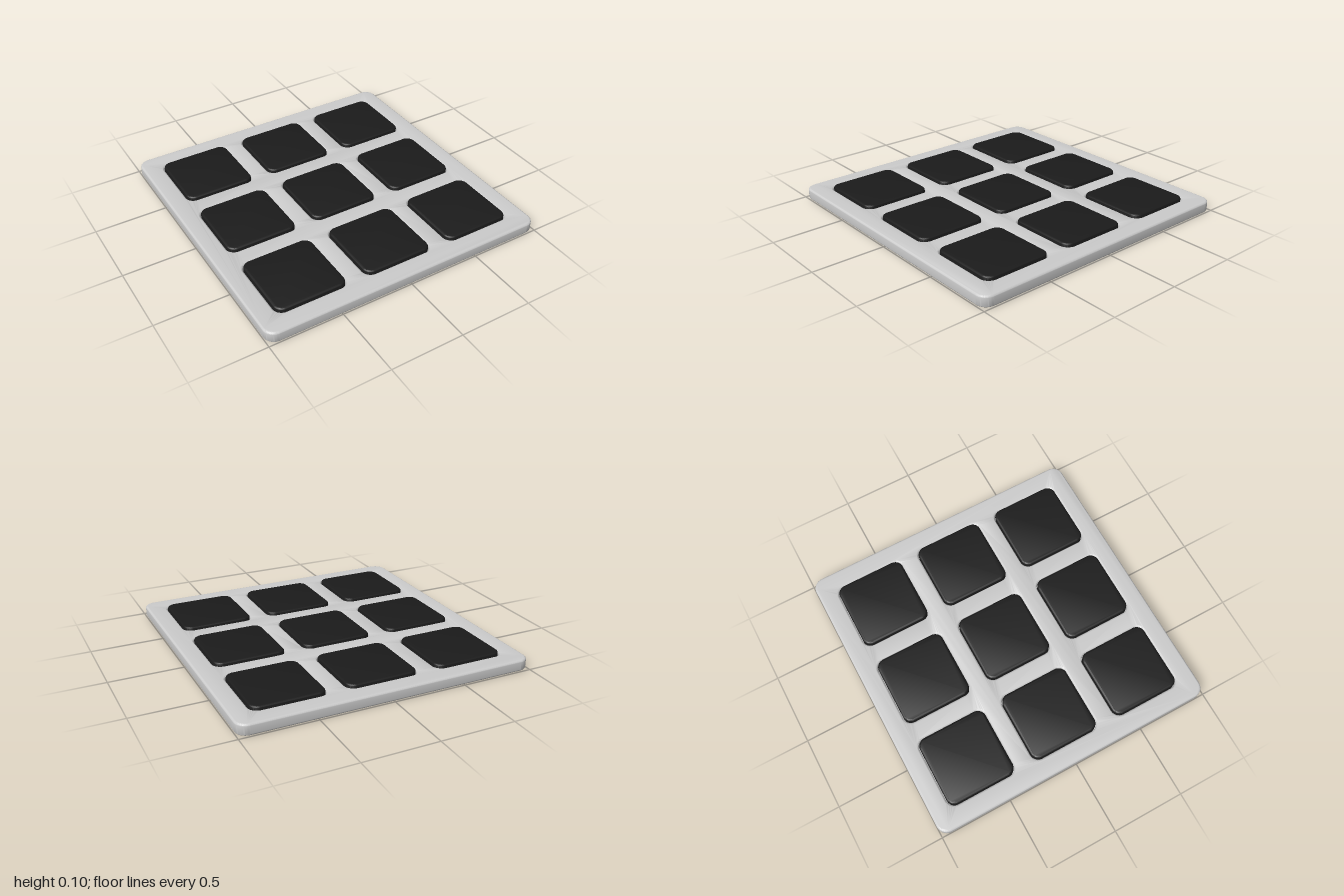
import * as THREE from 'three';
import { toCreasedNormals } from 'three/addons/utils/BufferGeometryUtils.js';

// Traces a rounded square of the given width around (cx, cy)
function roundedSquare(path, cx, cy, width, r) {
  const h = width / 2, k = h - r;
  path.absarc(cx + k, cy + k, r, 0, Math.PI / 2);
  path.absarc(cx - k, cy + k, r, Math.PI / 2, Math.PI);
  path.absarc(cx - k, cy - k, r, Math.PI, Math.PI * 1.5);
  path.absarc(cx + k, cy - k, r, Math.PI * 1.5, Math.PI * 2);
  path.closePath();
  return path;
}

// Lays a shape flat between y0 and y1 with rounded rims
function slab(shape, y0, y1, bevel) {
  const geo = new THREE.ExtrudeGeometry(shape, {
    depth: y1 - y0 - 2 * bevel,
    bevelEnabled: bevel > 0,
    bevelThickness: bevel,
    bevelSize: bevel,
    bevelOffset: -bevel,
    bevelSegments: 4,
    curveSegments: 8,
  });
  geo.translate(0, 0, y0 + bevel);
  geo.rotateX(-Math.PI / 2);
  return toCreasedNormals(geo, 0.7);
}

export function createModel() {
  const model = new THREE.Group();
  model.name = 'gridPanel';
  const grey = new THREE.MeshStandardMaterial({ color: 0xcccccc });
  const dark = new THREE.MeshStandardMaterial({ color: 0x1b1b1b });
  const add = (name, geo, mat, x = 0, z = 0) => {
    const mesh = new THREE.Mesh(geo, mat);
    mesh.name = name;
    mesh.position.set(x, 0, z);
    model.add(mesh);
  };

  // Frame with nine soft-edged openings
  const pitch = 0.623;
  const frame = roundedSquare(new THREE.Shape(), 0, 0, 2, 0.075);
  for (let i = -1; i <= 1; i++) {
    for (let j = -1; j <= 1; j++) {
      frame.holes.push(roundedSquare(new THREE.Path(), i * pitch, j * pitch, 0.495, 0.06));
    }
  }
  add('frame', slab(frame, 0.003, 0.08, 0.014), grey);

  // Closed underside behind the openings
  add('basePlate', slab(roundedSquare(new THREE.Shape(), 0, 0, 1.96, 0.06), 0, 0.03, 0.003), grey);

  // Pads standing slightly proud of the frame
  const padGeo = slab(roundedSquare(new THREE.Shape(), 0, 0, 0.488, 0.06), 0.02, 0.096, 0.014);
  for (let row = -1; row <= 1; row++) {
    for (let col = -1; col <= 1; col++) {
      add(`pad${(row + 1) * 3 + col + 2}`, padGeo, dark, col * pitch, row * pitch);
    }
  }
  return model;
}
